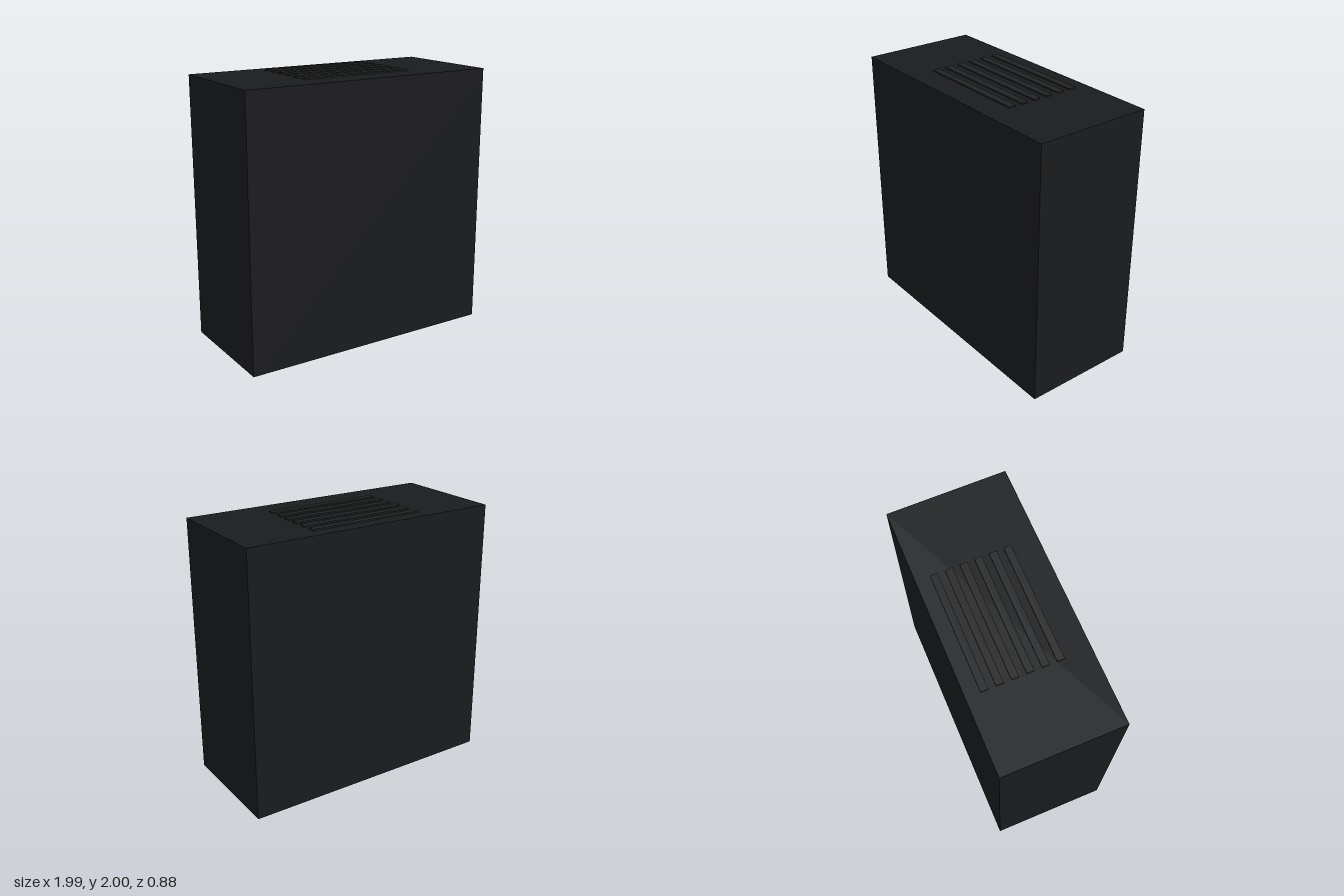
import * as THREE from 'three';

export function createModel() {
  const model = new THREE.Group();
  const bodyMaterial = new THREE.MeshStandardMaterial({ color: 0x1a1b1d });
  const slatMaterial = new THREE.MeshStandardMaterial({ color: 0x222324 });

  const addBox = (name, size, position, material, parent) => {
    const mesh = new THREE.Mesh(new THREE.BoxGeometry(...size), material);
    mesh.name = name;
    mesh.position.set(...position);
    parent.add(mesh);
  };

  // Plain upright cabinet
  const height = 1.99;
  addBox('cabinet', [1.985, height, 0.88], [0, height / 2, 0], bodyMaterial, model);

  // Six raised vent slats on top, set slightly towards the back
  const vent = new THREE.Group();
  vent.name = 'topVent';
  model.add(vent);
  const count = 6, pitch = 0.106, centreZ = -0.044;
  for (let i = 0; i < count; i++) {
    const z = centreZ + (i - (count - 1) / 2) * pitch;
    addBox(`ventSlat${i + 1}`, [0.88, 0.02, 0.053], [0, 1.99, z], slatMaterial, vent);
  }

  return model;
}
